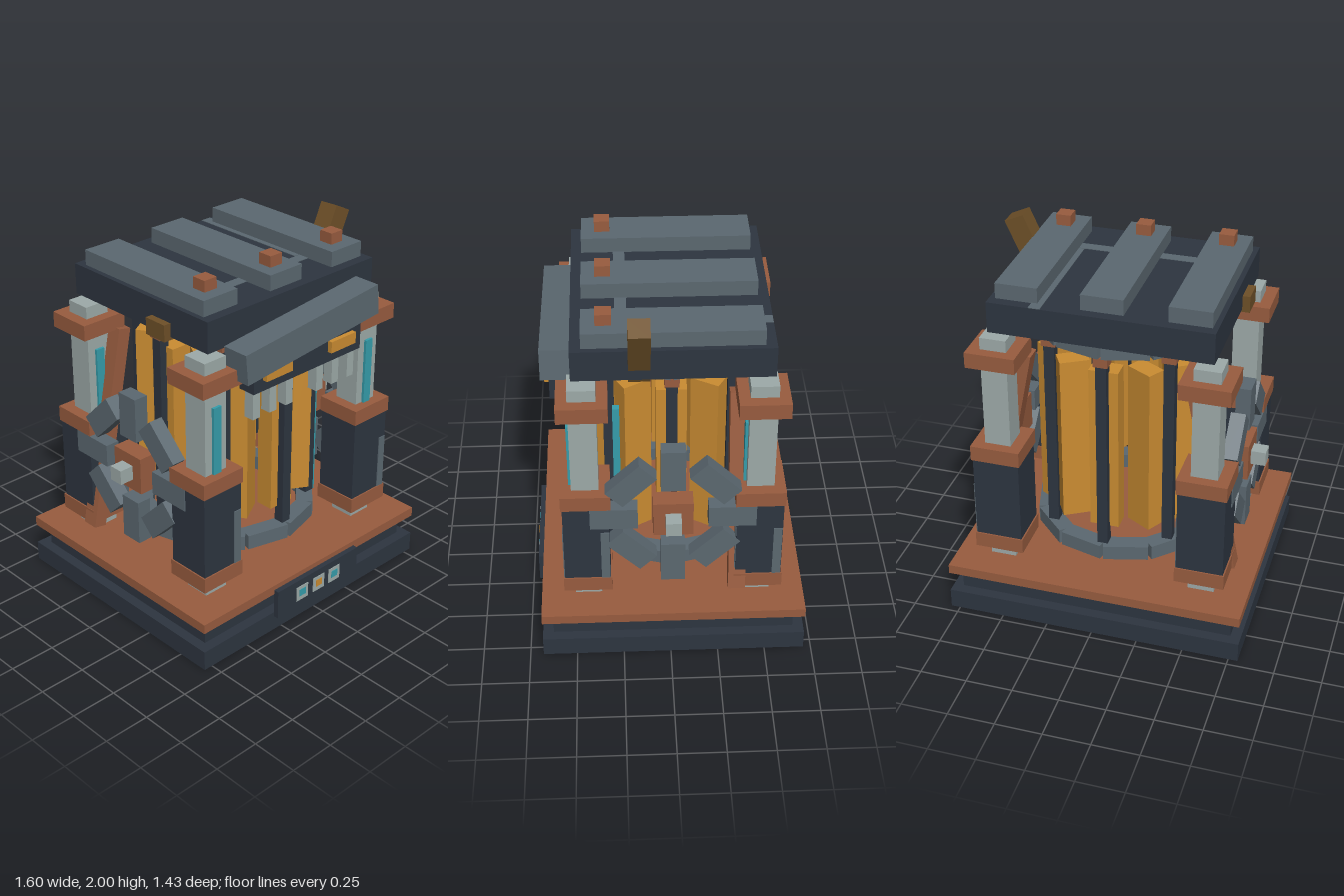
import * as THREE from 'three';

const mat = (name, color) => {
  const m = new THREE.MeshStandardMaterial({ color });
  m.name = name;
  return m;
};

export function createModel() {
  const root = new THREE.Group();
  root.name = 'machine';
  const dark = mat('dark iron', 0x2d3540);
  const steel = mat('steel', 0x5b6870);
  const pale = mat('pale metal', 0x9daaa8);
  const copper = mat('copper', 0x985c3f);
  const gold = mat('amber', 0xca8c32);
  const teal = mat('teal glow', 0x359dab);
  const brown = mat('brass brown', 0x6e5028);

  // Box given by its size and centre
  const box = (name, m, w, h, d, x, y, z, parent = root) => {
    const b = new THREE.Mesh(new THREE.BoxGeometry(w, h, d), m);
    b.name = name;
    b.position.set(x, y, z);
    parent.add(b);
    return b;
  };
  // Box given by its bottom and top heights
  const slab = (name, m, w, d, y0, y1, x, z, parent = root) =>
    box(name, m, w, y1 - y0, d, x, (y0 + y1) / 2, z, parent);
  const group = (name, x = 0, y = 0, z = 0) => {
    const g = new THREE.Group();
    g.name = name;
    g.position.set(x, y, z);
    root.add(g);
    return g;
  };

  // Base
  const cz = -0.015;
  slab('baseSlab', dark, 1.6, 1.39, 0, 0.11, 0, cz);
  slab('basePlinth', dark, 1.49, 1.275, 0.11, 0.225, 0, cz);
  slab('baseDeck', copper, 1.6, 1.39, 0.225, 0.278, 0, cz);

  // Control panel with three buttons
  slab('controlPanel', dark, 0.61, 0.03, 0.085, 0.25, 0, 0.694);
  [-0.125, 0, 0.12].forEach((x, i) => {
    box('buttonFrame', pale, 0.085, 0.085, 0.006, x, 0.168, 0.71);
    box('button', i === 1 ? gold : teal, 0.045, 0.04, 0.004, x, 0.172, 0.714);
  });

  // Corner pillars
  for (const x of [-0.55, 0.55]) for (const z of [0.43, -0.46]) {
    const p = group('pillar', x, 0, z);
    slab('shaft', pale, 0.14, 0.14, 0.278, 1.605, 0, 0, p);
    slab('bottomCollar', copper, 0.265, 0.255, 0.35, 0.435, 0, 0, p);
    slab('lowerCasing', dark, 0.25, 0.24, 0.435, 0.9, 0, 0, p);
    slab('middleCollar', copper, 0.265, 0.255, 0.9, 0.985, 0, 0, p);
    slab('topCollar', copper, 0.265, 0.255, 1.455, 1.54, 0, 0, p);
    slab('glowStrip', teal, 0.05, 0.015, 0.985, 1.355, 0, 0.077, p);
    slab('frontTrim', steel, 0.045, 0.006, 0.435, 0.745, 0.1, 0.122, p);
    slab('sideTrim', steel, 0.006, 0.045, 0.435, 0.745, 0.127, -0.095, p);
  }

  // Sides: braces, blade wheels and glowing rods
  for (const s of [-1, 1]) {
    const brace = box('brace', copper, 0.075, 1.14, 0.09, s * 0.55, 0.9, -0.35);
    brace.rotation.z = s * 0.195;

    const wheel = group('bladeWheel', s * 0.64, 0.835, cz);
    box('hub', copper, 0.1, 0.205, 0.205, 0, 0, 0, wheel);
    box('axle', pale, 0.13, 0.08, 0.08, s * 0.065, 0, 0, wheel);
    for (let i = 0; i < 8; i++) {
      const a = i * Math.PI / 4;
      const blade = box('blade', steel, 0.08, 0.245, 0.125,
        0, 0.303 * Math.cos(a), 0.303 * Math.sin(a), wheel);
      blade.rotation.x = -a;
    }
    slab('glowRod', teal, 0.036, 0.036, 0.4, 1.33, s * 0.387, 0.265);
  }

  // Hollow core: amber panels, ring segments and upright bars
  const core = group('core', 0, 0, cz);
  for (let i = 0; i < 12; i++) {
    const a = i * Math.PI / 6;
    const panel = slab('corePanel', gold, 0.155, 0.1, 0.53, 1.465,
      0.385 * Math.sin(a), 0.385 * Math.cos(a), core);
    panel.rotation.y = -a;
    const b = a + Math.PI / 12;
    for (const [y0, y1] of [[0.35, 0.432], [1.57, 1.636]]) {
      const seg = slab('ringSegment', steel, 0.24, 0.09, y0, y1,
        0.44 * Math.sin(b), 0.44 * Math.cos(b), core);
      seg.rotation.y = b;
    }
  }
  for (let i = 0; i < 8; i++) {
    const a = i * Math.PI / 4;
    const x = 0.447 * Math.sin(a), z = 0.447 * Math.cos(a);
    slab('coreBar', dark, 0.057, 0.057, 0.44, 1.52, x, z, core);
    slab('barCap', copper, 0.075, 0.075, 1.515, 1.57, x, z, core);
  }

  // Roof with ribs and bolts
  slab('roof', dark, 1.16, 0.995, 1.636, 1.802, 0, -0.018);
  slab('roofBandAcross', steel, 0.88, 0.06, 1.8, 1.805, -0.11, 0.23);
  slab('roofBandAlong', steel, 0.06, 0.71, 1.8, 1.805, 0.33, -0.16);
  for (const x of [-0.443, 0, 0.44]) {
    slab('roofRib', steel, 0.22, 0.885, 1.8, 1.885, x, -0.018);
    slab('roofBolt', copper, 0.08, 0.08, 1.885, 1.945, x, 0.315);
  }
  const lever = box('lever', brown, 0.11, 0.4, 0.108, 0.568, 1.797, 0.147);
  lever.rotation.z = -0.425;
  slab('sideBracket', brown, 0.1, 0.135, 1.62, 1.71, -0.57, 0.148);

  // Tilted front canopy with lamps and teeth
  const canopy = box('canopy', steel, 0.935, 0.165, 0.15, 0, 1.607, 0.555);
  canopy.rotation.z = 0.096;
  slab('canopyBeam', dark, 0.765, 0.1, 1.39, 1.55, 0, 0.542);
  for (const s of [-1, 1]) {
    slab('lamp', gold, 0.18, 0.03, 1.448, 1.51, s * 0.229, 0.603);
    for (const x of [0.11, 0.225, 0.34])
      slab('tooth', pale, 0.048, 0.058, 1.235, 1.39, s * x, 0.54);
  }
  return root;
}
